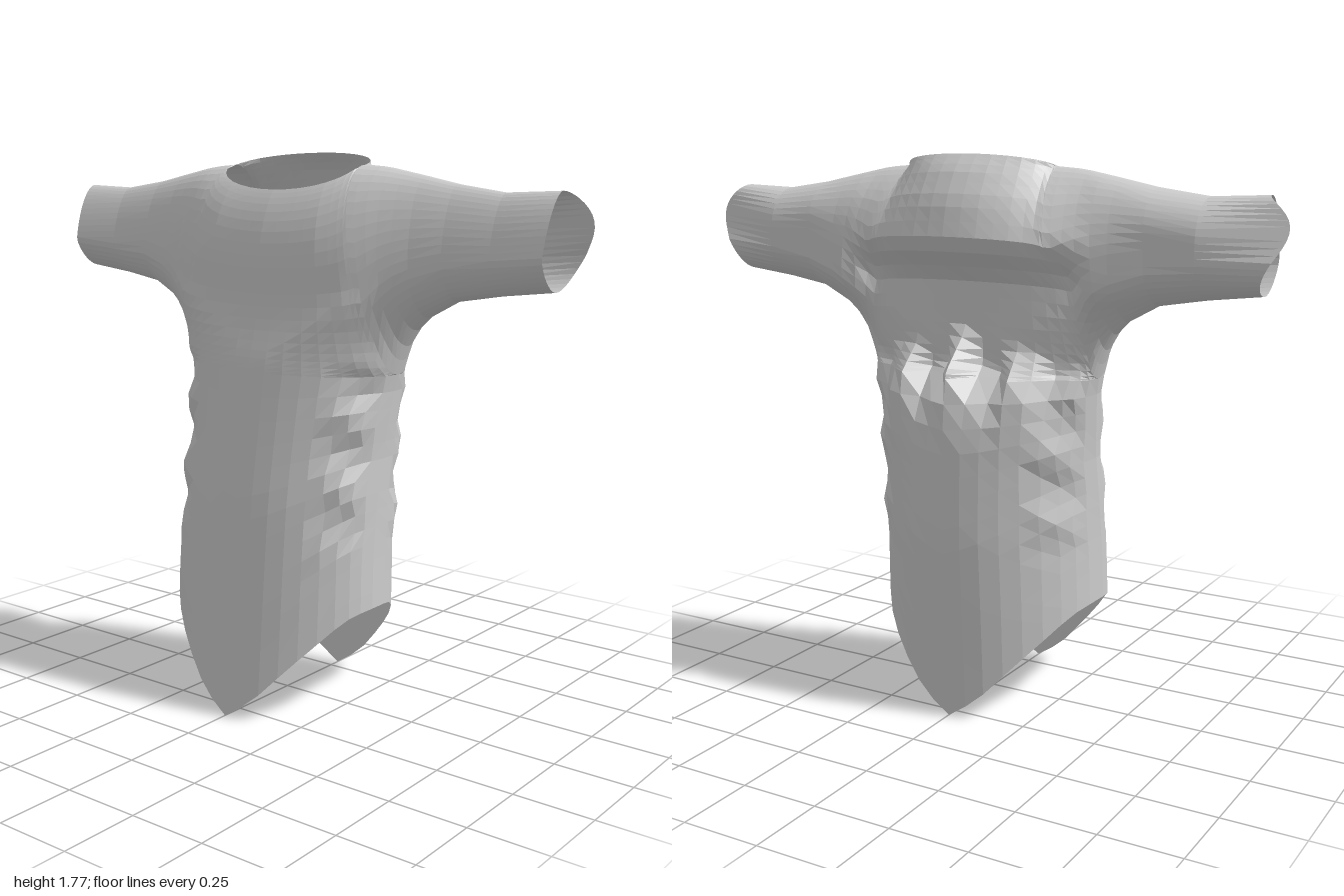
import * as THREE from 'three';

const { lerp, clamp, smoothstep } = THREE.MathUtils;

// piecewise-linear lookup in a list of [position, value]
function table(list, t) {
  if (t <= list[0][0]) return list[0][1];
  for (let i = 1; i < list.length; i++) {
    const [a, va] = list[i - 1], [b, vb] = list[i];
    if (t <= b) return lerp(va, vb, (t - a) / (b - a));
  }
  return list[list.length - 1][1];
}

// half outline: pointed hem, side seam, sleeve underside and shoulder ridge
const hem = [[0, 0], [0.06, 0.04], [0.12, 0.09], [0.18, 0.155], [0.235, 0.215], [0.285, 0.27], [0.325, 0.317], [0.353, 0.347], [0.371, 0.36], [0.38, 0.365]];
const sideWidth = [[0.365, 0.38], [0.6, 0.375], [0.85, 0.373], [1.05, 0.39], [1.1, 0.4]];
const sleeve = [[0.413, 1.145], [0.43, 1.19], [0.46, 1.24], [0.5, 1.28], [0.6, 1.335], [0.75, 1.36], [0.92, 1.38]];
const seamLine = [[0.38, -0.3], ...sideWidth.map(([y, x]) => [x, y]), ...sleeve];
const ridge = [[0.26, 1.737], [0.35, 1.73], [0.5, 1.7], [0.65, 1.668], [0.78, 1.655], [0.93, 1.665]];
const waist = 1.1; // height where the body meets the yoke

// yoke columns: where each starts on the waist or seam, and where it ends on the neckline or ridge
const yokeStart = [...hem.map(([x]) => [x * 0.4 / 0.38, waist]), ...sleeve];
const yokeEnd = [0, 0.05, 0.1, 0.145, 0.185, 0.22, 0.243, 0.256, 0.26, 0.29, 0.33, 0.37, 0.42, 0.48, 0.59, 0.75, 0.93];

// centre-line profiles [y, z], yoke depths [x, z] and the collar's fall-off to the sides
const frontY = [[0, 0.325], [0.4, 0.29], [0.7, 0.262], [1.0, 0.215], [1.3, 0.17], [1.5, 0.15]];
const frontX = [[0, 0.15], [0.2, 0.14], [0.3, 0.12], [0.4, 0.085], [0.5, 0.055], [0.65, 0.03], [0.93, 0.045]];
const backY = [[0, -0.29], [0.2, -0.3], [0.6, -0.325], [0.97, -0.315], [1.12, -0.295], [1.24, -0.175], [1.4, -0.175],
  [1.5, -0.3], [1.53, -0.31], [1.64, -0.285], [1.73, -0.235], [1.775, -0.19]];
const backX = [[0.35, -0.25], [0.45, -0.21], [0.55, -0.188], [0.65, -0.18], [0.93, -0.18]];
const collarFall = [[0, 1], [0.1, 0.99], [0.2, 0.95], [0.3, 0.87], [0.4, 0.76]];

const neck = (x) => Math.sqrt(Math.max(0, 1 - (x / 0.26) ** 2));
const round = (t) => Math.sqrt(1 - (1 - clamp(t, 0, 1)) ** 2);
const bevel = (t, flat) => lerp(round(t), clamp(t, 0, 1), flat);

function seamDistance(x, y) {
  let best = Infinity;
  for (let i = 1; i < seamLine.length; i++) {
    const [ax, ay] = seamLine[i - 1], [bx, by] = seamLine[i];
    const dx = bx - ax, dy = by - ay;
    const t = clamp(((x - ax) * dx + (y - ay) * dy) / (dx * dx + dy * dy), 0, 1);
    best = Math.min(best, Math.hypot(x - ax - t * dx, y - ay - t * dy));
  }
  return best;
}

// depth of the cloth at a point of the half outline
function depth(x, y, isFront) {
  const zMid = lerp(0.05, -0.06, smoothstep(y, 0.4, 1.3));
  const arm = smoothstep(x, 0.35, 0.6), upper = smoothstep(y, 1.1, 1.4);
  const d = seamDistance(x, y);
  const under = bevel(d / lerp(0.378, lerp(0.14, 0.1, arm), Math.max(arm, upper)), 0.3 * arm);
  let over = bevel((table(ridge, x) - y) / lerp(0.35, isFront ? 0.2 : 0.13, arm), isFront ? 0.3 * arm : 0);
  let z;
  if (isFront) {
    z = lerp(table(frontY, y), table(frontX, x), upper);
  } else {
    over = Math.sqrt(over * over + (1 - over * over) * neck(x) ** 2);
    // ragged step below the collar
    const ragged = 0.13 * Math.abs(Math.sin(x * 15)) * smoothstep(y, 0.75, 1.0) * (1 - smoothstep(y, 1.25, 1.38));
    const collar = table(backY, y + ragged) * lerp(1, table(collarFall, x), upper);
    z = lerp(collar, table(backX, x), smoothstep(x, 0.34, 0.46) * upper);
  }
  // crumpled folds beside the side seams
  const fold = 0.02 * Math.sin(y * 29 + x * 15) * smoothstep(y, 0.5, 0.65) * (1 - smoothstep(y, 1.05, 1.2))
    * smoothstep(d, 0, 0.03) * (1 - smoothstep(d, 0.07, 0.13));
  return zMid + (z - zMid) * under * over + fold;
}

// mirrored panel of cloth; place(i, v) gives the point [x, y, z] of half column i at height v
function panel(name, last, rows, isFront, place, material) {
  const pos = [], index = [], n = rows + 1;
  for (let c = -last; c <= last; c++) {
    for (let r = 0; r <= rows; r++) {
      const [x, y, z] = place(Math.abs(c), r / rows);
      pos.push(Math.sign(c) * x, y, z);
    }
  }
  for (let c = 0; c < 2 * last; c++) {
    for (let r = 0; r < rows; r++) {
      const a = c * n + r, b = a + n;
      if (isFront) index.push(a, b, b + 1, a, b + 1, a + 1);
      else index.push(a, b + 1, b, a, a + 1, b + 1);
    }
  }
  const geo = new THREE.BufferGeometry();
  geo.setAttribute('position', new THREE.Float32BufferAttribute(pos, 3));
  geo.setIndex(index);
  geo.computeVertexNormals();
  const mesh = new THREE.Mesh(geo, material);
  mesh.name = name;
  return mesh;
}

// body column: from the hem straight up to the waist, following the side width
function bodyPoint(i, v, isFront) {
  const [hx, hy] = hem[i];
  const y = lerp(hy, waist, v), x = hx * table(sideWidth, y) / 0.38;
  return [x, y, depth(x, y, isFront)];
}

// yoke column: from the waist or sleeve underside to the neckline or shoulder ridge
function yokePoint(i, t, isFront) {
  const v = (1 - Math.cos(Math.PI * t)) / 2;
  const [sx, sy] = yokeStart[i], ex = yokeEnd[i];
  const ey = table(ridge, ex) + (isFront ? -0.077 : 0.038) * neck(ex);
  const x = lerp(sx, ex, v), y = lerp(sy, ey, v), z = depth(x, y, isFront);
  if (i < yokeEnd.length - 1 || isFront) return [x, y, z];
  // cuff flares outward to a tip and curls in at the back
  const flare = Math.sin(Math.PI * v ** 1.7);
  return [x + 0.075 * flare, y, z + 0.06 * flare];
}

export function createModel() {
  const group = new THREE.Group();
  group.name = 'tunic';
  const cloth = new THREE.MeshStandardMaterial({ color: 0xcccccc, flatShading: true, side: THREE.DoubleSide });
  for (const isFront of [true, false]) {
    const end = isFront ? 'Front' : 'Back';
    group.add(
      panel('body' + end, hem.length - 1, 14, isFront, (i, v) => bodyPoint(i, v, isFront), cloth),
      panel('yokeAndSleeves' + end, yokeEnd.length - 1, 22, isFront, (i, v) => yokePoint(i, v, isFront), cloth),
    );
  }
  return group;
}
